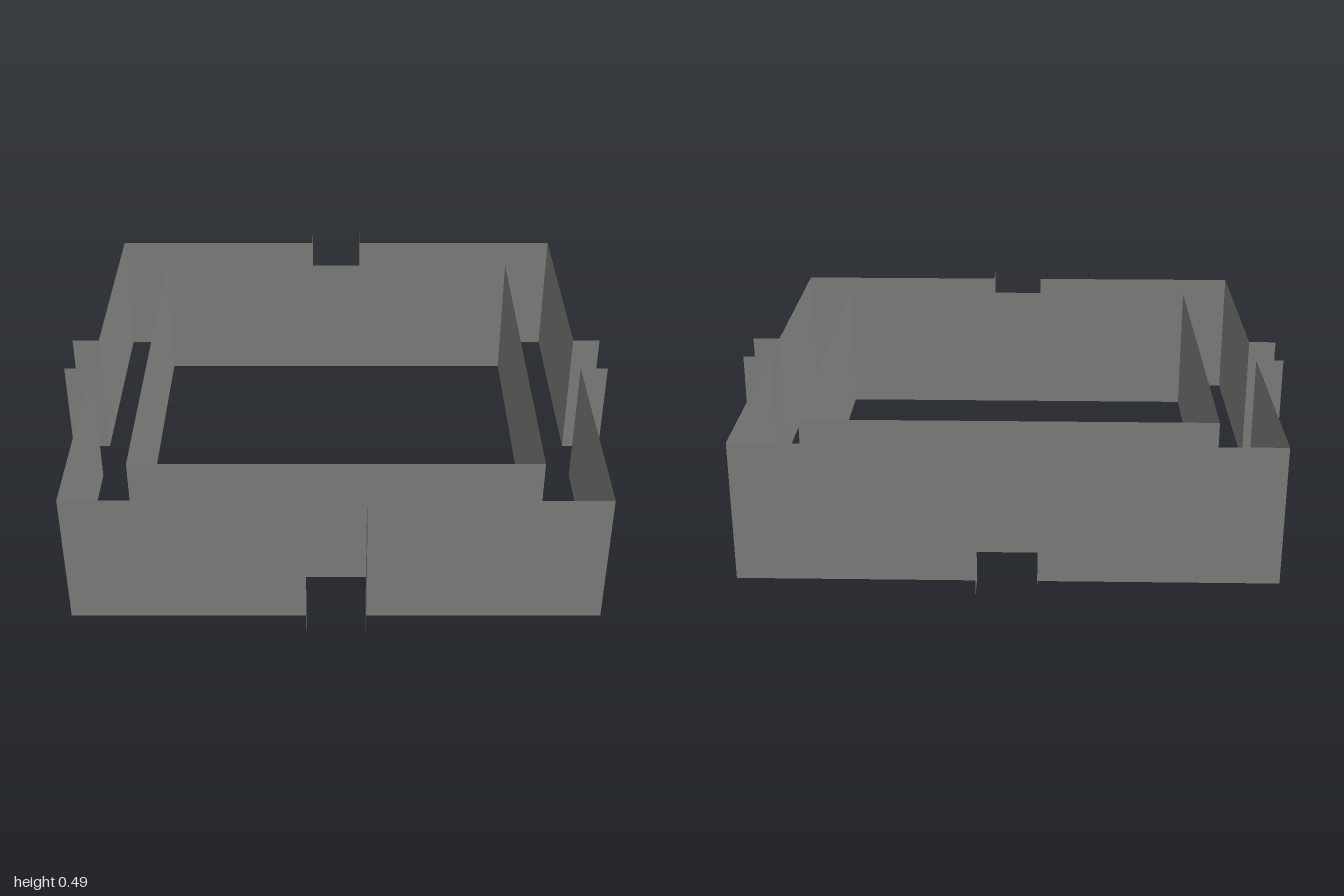
import * as THREE from 'three';

const HEIGHT = 0.49;
const INNER = 0.7;  // half width of the inner square
const OUTER = 0.9;  // half width of the outer square
const GAP = 0.1;    // half width of the opening in each outer side
const EDGE = 1;     // reach of the door jambs

export function createModel() {
  const model = new THREE.Group();
  model.name = 'walledSquare';
  const wallGrey = new THREE.MeshStandardMaterial({ color: 0x868684, side: THREE.DoubleSide });
  wallGrey.name = 'wall grey';

  // Upright sheet standing on the ground between two plan points (x, z)
  function addSheet(parent, name, x1, z1, x2, z2) {
    const geometry = new THREE.PlaneGeometry(Math.hypot(x2 - x1, z2 - z1), HEIGHT);
    const sheet = new THREE.Mesh(geometry, wallGrey);
    sheet.name = name;
    sheet.position.set((x1 + x2) / 2, HEIGHT / 2, (z1 + z2) / 2);
    sheet.rotation.y = -Math.atan2(z2 - z1, x2 - x1);
    parent.add(sheet);
  }

  // Four identical sides, each turned a quarter
  ['front', 'left', 'back', 'right'].forEach((label, i) => {
    const side = new THREE.Group();
    side.name = label + 'Side';
    side.rotation.y = (i * Math.PI) / 2;

    addSheet(side, 'innerWall', -INNER, INNER, INNER, INNER);

    // Outer wall halves with jambs turned outward at the opening
    addSheet(side, 'outerWallA', -OUTER, OUTER, -GAP, OUTER);
    addSheet(side, 'outerWallB', GAP, OUTER, OUTER, OUTER);
    addSheet(side, 'jambA', -GAP, EDGE, -GAP, OUTER);
    addSheet(side, 'jambB', GAP, OUTER, GAP, EDGE);
    model.add(side);
  });

  return model;
}
